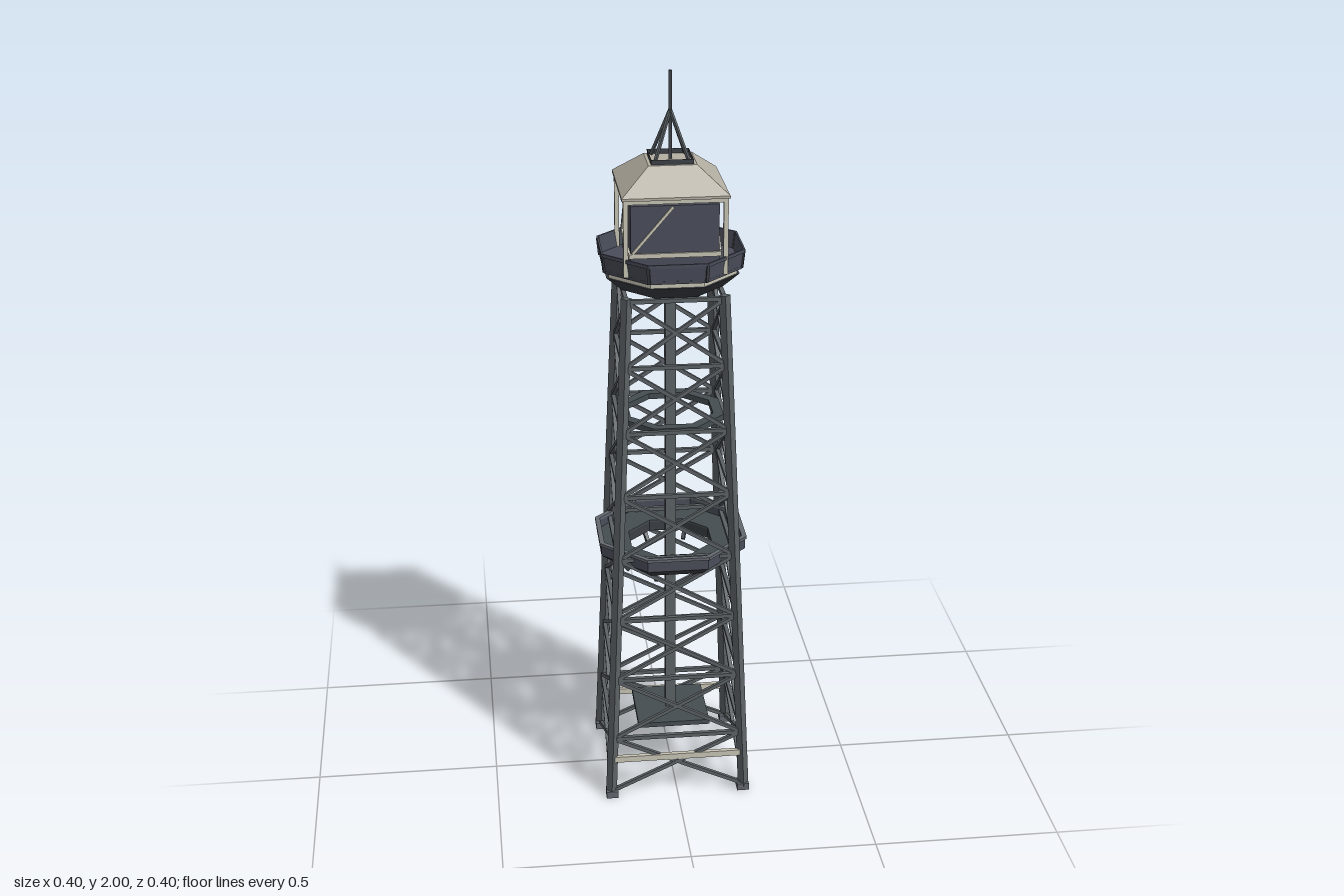
import * as THREE from 'three';

const mat = (name, color) => Object.assign(new THREE.MeshStandardMaterial({ color }), { name });

export function createModel() {
  const steel = mat('steel grey', 0x5c6266);
  const dark = mat('dark steel', 0x3b4045);
  const plate = mat('floor plate grey', 0x454d52);
  const slate = mat('slate blue', 0x4a4e5a);
  const rail = mat('rail grey', 0x646970);
  const roofMat = mat('roof beige', 0xb5b0a3);
  const cream = mat('cream', 0xc9c5b6);

  const model = new THREE.Group();
  model.name = 'lookoutTower';

  const group = (name, parent = model) => {
    const g = new THREE.Group();
    g.name = name;
    parent.add(g);
    return g;
  };
  const add = (parent, name, geo, material) => {
    const m = new THREE.Mesh(geo, material);
    m.name = name;
    parent.add(m);
    return m;
  };
  const box = (parent, name, size, pos, material) => {
    const m = add(parent, name, new THREE.BoxGeometry(...size), material);
    m.position.set(...pos);
    return m;
  };
  // Square bar between two points, in the parent's own frame
  const up = new THREE.Vector3(0, 1, 0);
  const bar = (parent, name, a, b, w, material) => {
    const p = new THREE.Vector3(...a), q = new THREE.Vector3(...b);
    const m = add(parent, name, new THREE.BoxGeometry(w, w, p.distanceTo(q)), material);
    m.quaternion.setFromRotationMatrix(new THREE.Matrix4().lookAt(q, p, up));
    m.position.copy(p).add(q).multiplyScalar(0.5);
  };
  // Flat-sided ring or solid: closed profile of [apothem, y], outer side upwards
  const faceted = (parent, name, sides, profile, material) => {
    const k = 1 / Math.cos(Math.PI / sides);
    const pts = profile.map(([r, y]) => new THREE.Vector2(r * k, y));
    const geo = new THREE.LatheGeometry(pts, sides).rotateY(Math.PI / sides).toNonIndexed();
    geo.computeVertexNormals();
    add(parent, name, geo, material);
  };
  const ring = (parent, name, rIn, rOut, y0, y1, material) =>
    faceted(parent, name, 8, [[rOut, y0], [rOut, y1], [rIn, y1], [rIn, y0], [rOut, y0]], material);
  const atCorners = (fn) => {
    for (let i = 0; i < 8; i++) {
      const t = (i + 0.5) * Math.PI / 4;
      fn((r, y) => [r * Math.cos(t), y, r * Math.sin(t)]);
    }
  };

  // Tapering legs with feet
  const legTop = 1.445;
  const half = (y) => 0.186 - 0.06 * (y / legTop);
  const legs = group('legs');
  for (const sx of [-1, 1]) for (const sz of [-1, 1]) {
    const at = (y) => [sx * half(y), y, sz * half(y)];
    bar(legs, 'leg', at(0.01), at(legTop), 0.021, steel);
    box(legs, 'foot', [0.033, 0.02, 0.033], [sx * 0.1835, 0.01, sz * 0.1835], rail);
  }

  // Horizontal girts and crossed braces on all four faces
  const lattice = group('lattice');
  for (let f = 0; f < 4; f++) {
    const side = group('latticeSide', lattice);
    side.rotation.y = f * Math.PI / 2;
    for (let i = 0; i < 8; i++) {
      const y0 = Math.max(0.015, i * 0.1795), y1 = (i + 1) * 0.1795;
      const a = half(y0), b = half(y1);
      bar(side, 'brace', [-a, y0, a], [b, y1, b], 0.01, steel);
      bar(side, 'brace', [a, y0, a], [-b, y1, b], 0.01, steel);
      bar(side, 'girt', [-b, y1, b], [b, y1, b], 0.011, steel);
    }
  }
  for (const s of [-1, 1])
    box(model, 'creamCrossbar', [0.35, 0.017, 0.012], [0, 0.117, s * 0.184], cream);

  // Central shaft on its base plate
  box(model, 'shaft', [0.028, 1.3, 0.028], [0, 0.815, 0], steel);
  box(model, 'basePlate', [0.2, 0.014, 0.2], [0, 0.168, 0], plate);

  // Middle platform: open octagonal deck with parapet and struts
  const mid = group('middlePlatform');
  faceted(mid, 'skirt', 8, [[0.165, 0.672], [0.196, 0.698], [0.11, 0.698], [0.11, 0.672], [0.165, 0.672]], dark);
  ring(mid, 'deck', 0.11, 0.195, 0.698, 0.704, plate);
  ring(mid, 'parapet', 0.189, 0.196, 0.698, 0.73, slate);
  ring(mid, 'handrail', 0.187, 0.2, 0.727, 0.735, rail);
  atCorners((p) => bar(mid, 'strut', p(0.175, 0.685), p(0.13, 0.635), 0.01, dark));

  // Slim walkway ring inside the upper lattice
  ring(model, 'upperRing', 0.11, 0.137, 1.07, 1.086, plate);

  // Gallery under the cabin
  const gallery = group('gallery');
  faceted(gallery, 'underside', 8, [[0, 1.445], [0.132, 1.445], [0.172, 1.483], [0, 1.483]], dark);
  faceted(gallery, 'creamBand', 8, [[0, 1.483], [0.166, 1.483], [0.166, 1.497], [0, 1.497]], cream);
  faceted(gallery, 'deck', 8, [[0, 1.497], [0.178, 1.497], [0.179, 1.505], [0, 1.505]], slate);
  faceted(gallery, 'parapet', 8, [[0.178, 1.499], [0.183, 1.549], [0.18, 1.549], [0.175, 1.499], [0.178, 1.499]], slate);
  ring(gallery, 'handrail', 0.18, 0.185, 1.541, 1.55, slate);
  atCorners((p) => bar(gallery, 'railPost', p(0.191, 1.5), p(0.196, 1.545), 0.008, dark));

  // Recessed glazing inside a free-standing cream frame
  const cabin = group('cabin');
  box(cabin, 'glazing', [0.226, 0.18, 0.226], [0, 1.593, 0], slate);
  for (let f = 0; f < 4; f++) {
    const side = group('cabinSide', cabin);
    side.rotation.y = f * Math.PI / 2;
    box(side, 'cornerPost', [0.012, 0.202, 0.012], [-0.127, 1.604, 0.127], cream);
    box(side, 'topBeam', [0.254, 0.012, 0.012], [0, 1.699, 0.127], cream);
    box(side, 'sill', [0.236, 0.012, 0.008], [0, 1.553, 0.114], cream);
    bar(side, 'diagonalBar', [-0.108, 1.56, 0.115], [-0.005, 1.68, 0.115], 0.007, cream);
  }

  // Hipped roof with a thin open curb
  faceted(model, 'roof', 4, [[0, 1.703], [0.137, 1.703], [0.137, 1.71], [0.062, 1.772], [0, 1.772]], roofMat);
  for (let f = 0; f < 4; f++) {
    const side = group('roofCurb');
    side.rotation.y = f * Math.PI / 2;
    box(side, 'curbWall', [0.108, 0.013, 0.001], [0, 1.778, 0.0535], dark);
  }

  // Antenna mast on four stays
  const antenna = group('antenna');
  for (const sx of [-1, 1]) for (const sz of [-1, 1])
    bar(antenna, 'stay', [sx * 0.044, 1.774, sz * 0.044], [0, 1.9, 0], 0.007, steel);
  box(antenna, 'mast', [0.008, 0.226, 0.008], [0, 1.887, 0], dark);

  return model;
}
